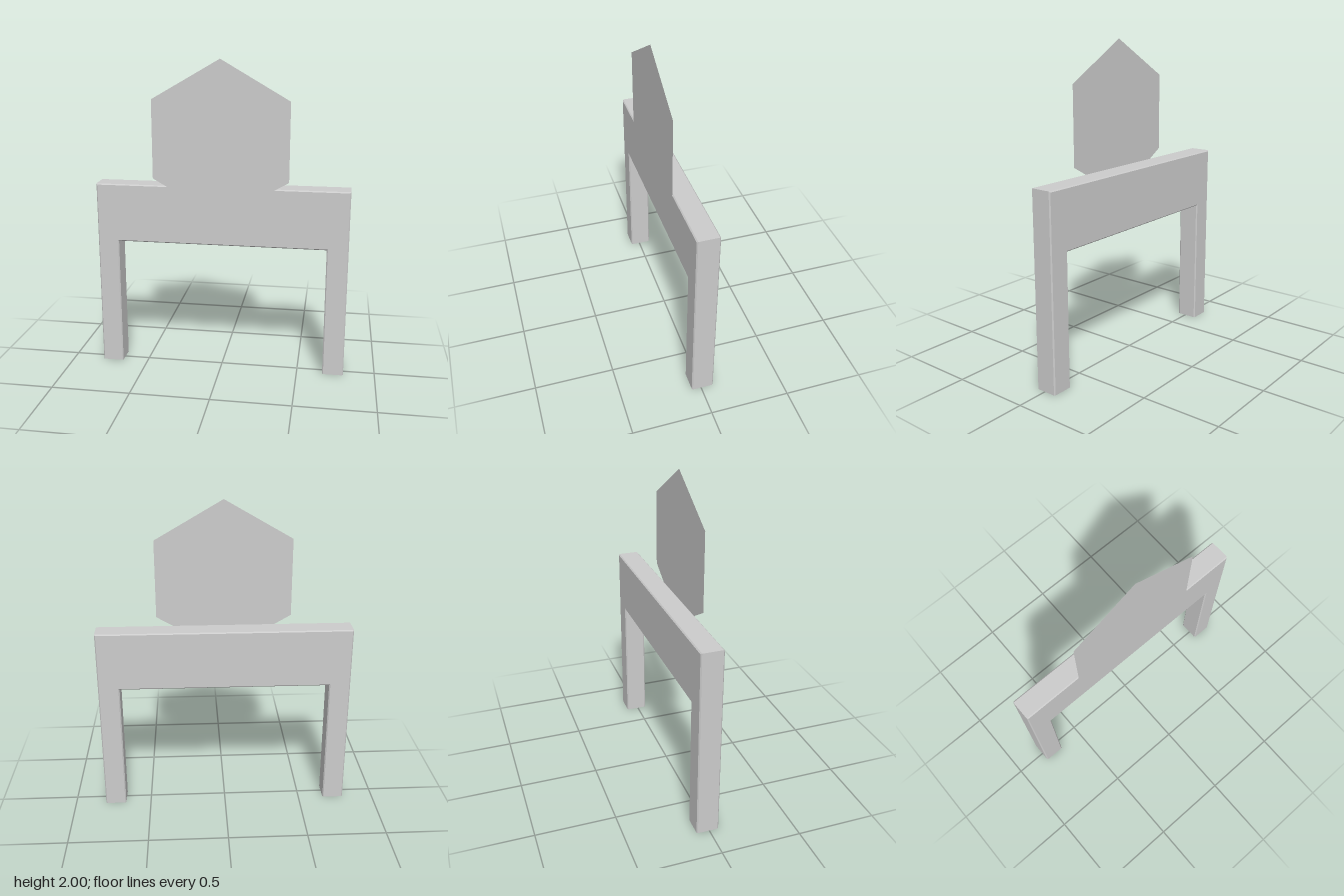
import * as THREE from 'three';

const material = new THREE.MeshStandardMaterial({ color: 0xcccccc, flatShading: true, side: THREE.DoubleSide });

// Outline of the two legs and crossbeam, clockwise, drawn in by a chamfer c
function outline(c) {
  const outer = 0.8 - c, inner = 0.665 + c, top = 1.215 - c, under = 0.84 + c;
  return [
    [-outer, 0], [-outer, top], [outer, top], [outer, 0],
    [inner, 0], [inner, under], [-inner, under], [-inner, 0],
  ];
}

// Chamfered side walls; the feet are left open
function wallGeometry(levels) {
  const positions = [];
  for (let k = 0; k < levels.length - 1; k++) {
    const back = outline(levels[k].inset), front = outline(levels[k + 1].inset);
    const zb = levels[k].z, zf = levels[k + 1].z;
    for (let i = 0; i < 7; i++) {
      if (i === 3) continue; // sole of a leg
      const a = [...back[i], zb], b = [...back[i + 1], zb];
      const c = [...front[i + 1], zf], d = [...front[i], zf];
      positions.push(...a, ...d, ...c, ...a, ...c, ...b);
    }
  }
  const geometry = new THREE.BufferGeometry();
  geometry.setAttribute('position', new THREE.Float32BufferAttribute(positions, 3));
  geometry.computeVertexNormals();
  return geometry;
}

function addMesh(parent, name, geometry) {
  const mesh = new THREE.Mesh(geometry, material);
  mesh.name = name;
  parent.add(mesh);
  return mesh;
}

export function createModel() {
  const model = new THREE.Group();
  model.name = 'signStand';

  // Stand: two legs joined by a deep crossbeam
  const c = 0.007, zBack = -0.08, zFront = 0.06;
  const stand = new THREE.Group();
  stand.name = 'stand';
  model.add(stand);
  addMesh(stand, 'standWalls', wallGeometry([
    { z: zBack, inset: c }, { z: zBack + c, inset: 0 },
    { z: zFront - c, inset: 0 }, { z: zFront, inset: c },
  ]));
  const face = new THREE.Shape(outline(c).map(([x, y]) => new THREE.Vector2(x, y)));
  addMesh(stand, 'standFront', new THREE.ShapeGeometry(face)).position.z = zFront;
  const backFace = addMesh(stand, 'standBack', new THREE.ShapeGeometry(face));
  backFace.rotation.y = Math.PI;
  backFace.position.z = zBack;

  // Thin hexagonal sign just in front of the beam
  const sign = addMesh(model, 'hexagonSign', new THREE.CircleGeometry(0.49, 6, Math.PI / 2));
  sign.position.set(0, 1.51, 0.08);

  return model;
}
